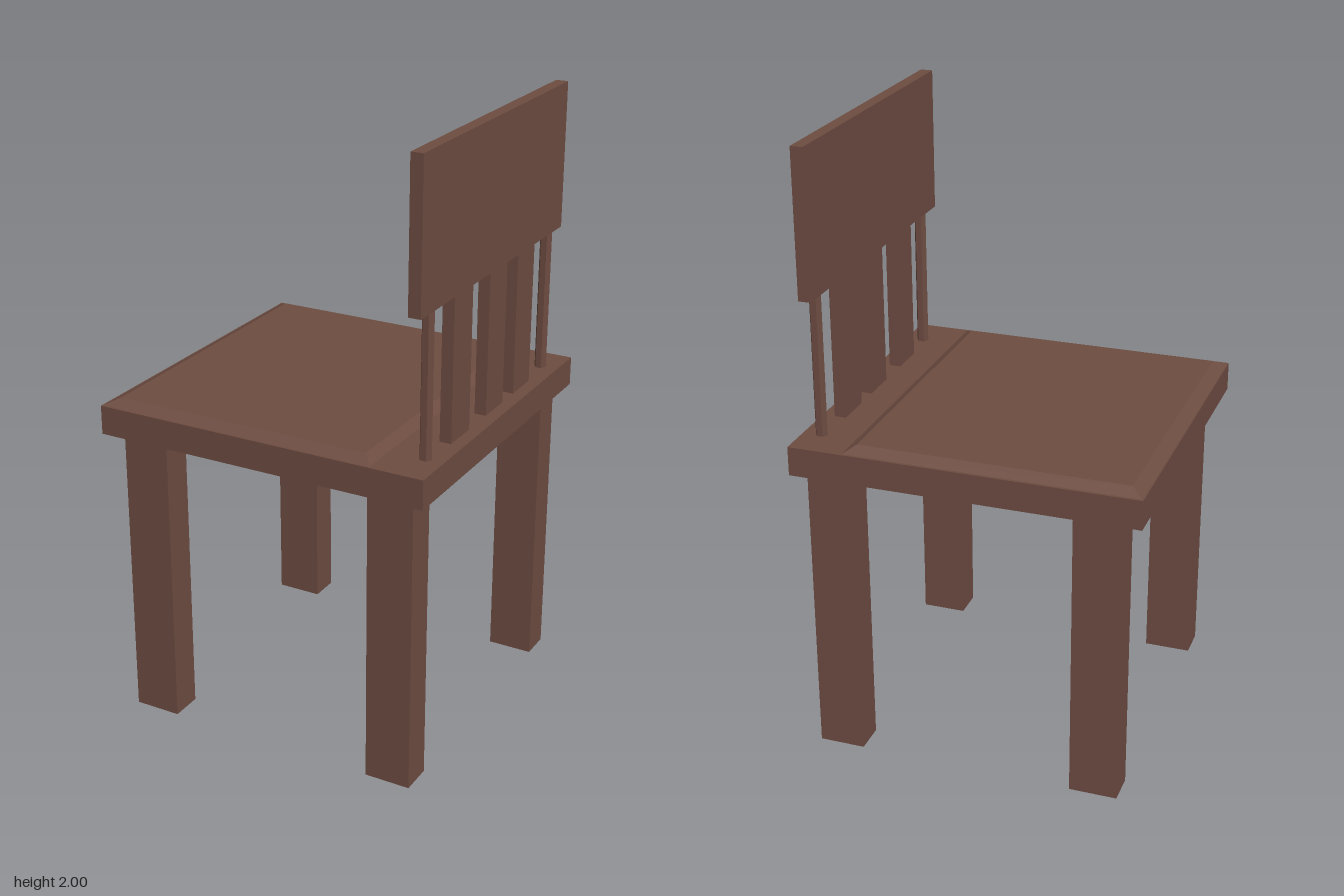
import * as THREE from 'three';

export function createModel() {
  const model = new THREE.Group();
  const wood = new THREE.MeshStandardMaterial({ color: 0x6d4c41, flatShading: true });

  function add(name, geometry) {
    const mesh = new THREE.Mesh(geometry, wood);
    mesh.name = name;
    model.add(mesh);
    return mesh;
  }

  // Box given by its limits on each axis
  function box(name, [x0, x1], [y0, y1], [z0, z1]) {
    const mesh = add(name, new THREE.BoxGeometry(x1 - x0, y1 - y0, z1 - z0));
    mesh.position.set((x0 + x1) / 2, (y0 + y1) / 2, (z0 + z1) / 2);
    return mesh;
  }

  // Seat slab
  box('seat', [-0.56, 0.56], [0.975, 1.07], [-0.547, 0.547]);

  // Raised seat panel: a box whose top face is drawn in to form bevels
  const panel = new THREE.BoxGeometry(1, 1, 1);
  const p = panel.attributes.position;
  for (let i = 0; i < p.count; i++) {
    const top = p.getY(i) > 0;
    const x = p.getX(i) > 0 ? (top ? 0.35 : 0.385) : (top ? -0.515 : -0.558);
    const z = Math.sign(p.getZ(i)) * (top ? 0.5 : 0.54);
    p.setXYZ(i, x, top ? 1.09 : 1.069, z);
  }
  panel.computeVertexNormals();
  add('seatPanel', panel);

  // Four legs
  for (const [end, x] of [['front', [-0.495, -0.34]], ['back', [0.365, 0.515]]]) {
    box(end + 'LegA', x, [0, 0.975], [0.412, 0.518]);
    box(end + 'LegB', x, [0, 0.975], [-0.512, -0.41]);
  }

  // Backrest board
  box('backBoard', [0.48, 0.52], [1.53, 2], [-0.5, 0.5]);

  // Flat slats under the board
  for (const z of [0.22, -0.023, -0.227]) {
    box('backSlat', [0.481, 0.519], [1.07, 1.53], [z - 0.062, z + 0.062]);
  }

  // Thin outer spindles
  for (const z of [0.412, -0.427]) {
    const spindle = add('backSpindle', new THREE.CylinderGeometry(0.02, 0.02, 0.46, 6));
    spindle.rotation.y = Math.PI / 2;
    spindle.position.set(0.5, 1.3, z);
  }

  return model;
}
